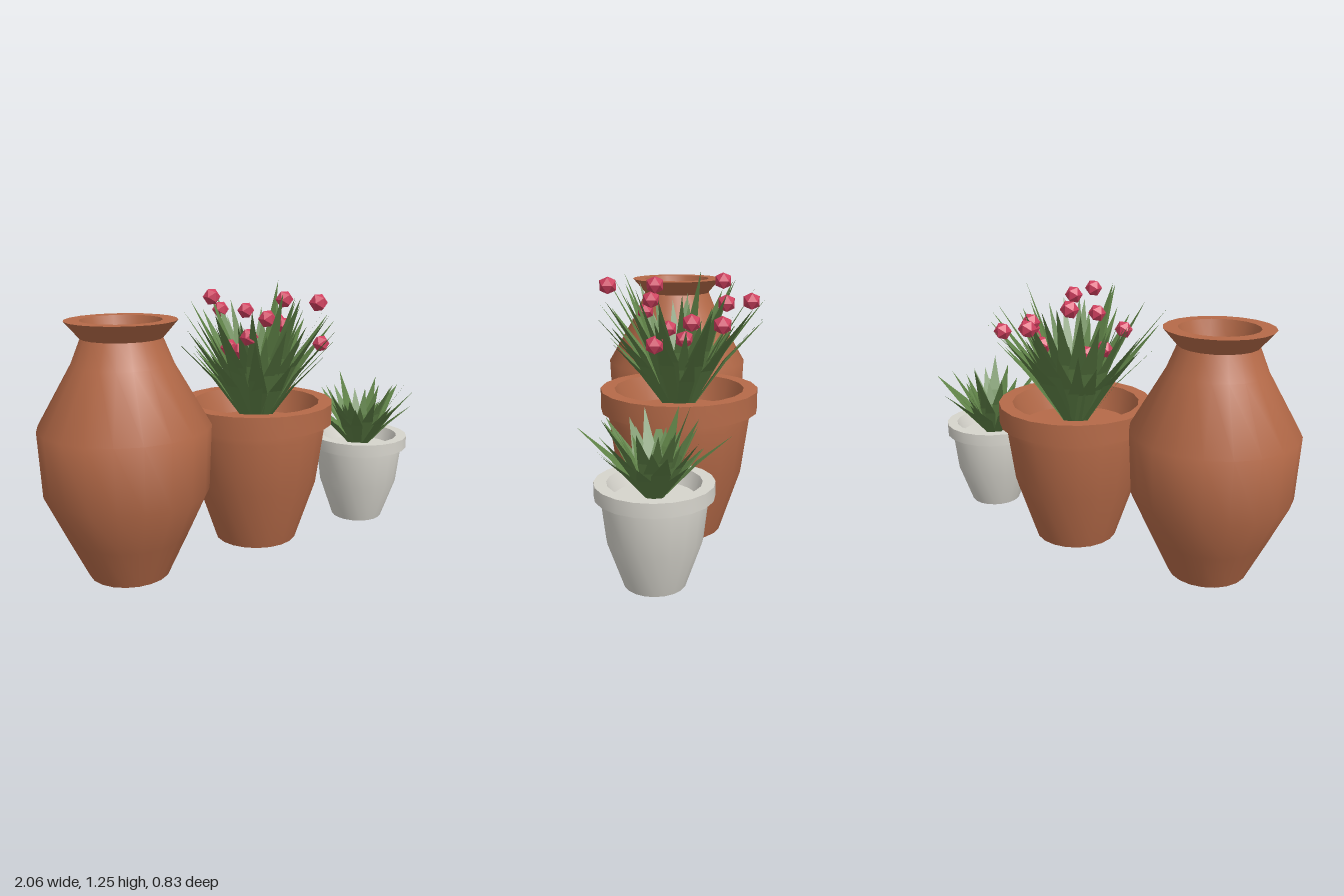
import * as THREE from 'three';
import { toCreasedNormals } from 'three/addons/utils/BufferGeometryUtils.js';

const colour = (name, hex, side = THREE.FrontSide) => {
  const m = new THREE.MeshStandardMaterial({ color: hex, side });
  m.name = name;
  return m;
};

// Turned vessel from [radius, height] pairs, bottom centre to inner floor centre
function vessel(name, profile, x, z, material) {
  const points = profile.map(([r, y]) => new THREE.Vector2(r, y));
  const mesh = new THREE.Mesh(toCreasedNormals(new THREE.LatheGeometry(points, 20), 0.7), material);
  mesh.name = name;
  mesh.position.set(x, 0, z);
  return mesh;
}

function seeded(seed) {
  return () => (seed = (seed * 16807) % 2147483647) / 2147483647;
}

// Pointed blades fanned around a small ring; each is a strip that bends outwards in the middle
function plant(name, o, material) {
  const rand = seeded(o.seed);
  const verts = [];
  for (let i = 0; i < o.count; i++) {
    const a = i * 2.39996 + (rand() - 0.5) * 0.3;
    const t = i / (o.count - 1); // 0 = low outer blade, 1 = upright inner blade
    const elevation = THREE.MathUtils.degToRad(o.low + (o.high - o.low) * t + (rand() - 0.5) * 6);
    const length = o.minLength + (o.maxLength - o.minLength) * rand();
    const width = o.width * (0.8 + 0.4 * rand());
    const out = new THREE.Vector3(Math.cos(a), 0, Math.sin(a));
    const across = new THREE.Vector3(-Math.sin(a), 0, Math.cos(a));
    const at = (r, y, w) => out.clone().multiplyScalar(r).addScaledVector(across, w).setY(y);
    const r1 = o.ring + Math.cos(elevation + 0.06) * length * 0.52;
    const y1 = Math.sin(elevation + 0.06) * length * 0.52;
    const r2 = r1 + Math.cos(elevation - 0.08) * length * 0.48;
    const y2 = y1 + Math.sin(elevation - 0.08) * length * 0.48;
    const b0 = at(o.ring, 0, -width * 0.28), b1 = at(o.ring, 0, width * 0.28);
    const m0 = at(r1, y1, -width / 2), m1 = at(r1, y1, width / 2);
    const tip = at(r2, y2, 0);
    for (const p of [b0, m0, b1, b1, m0, m1, m0, tip, m1]) verts.push(p.x, p.y, p.z);
  }
  const geo = new THREE.BufferGeometry();
  geo.setAttribute('position', new THREE.Float32BufferAttribute(verts, 3));
  geo.computeVertexNormals();
  const mesh = new THREE.Mesh(geo, material);
  mesh.name = name;
  mesh.position.set(o.x, o.y, o.z);
  return mesh;
}

export function createModel() {
  const group = new THREE.Group();
  group.name = 'pottedPlants';
  const terracotta = colour('terracotta', 0xb56a48);
  const stone = colour('pale stone', 0xd6d4cc);
  const green = colour('leaf green', 0x5f8247, THREE.DoubleSide);
  const pink = colour('flower pink', 0xd0405f);

  // Tall jar with flared lip
  group.add(vessel('tallJar', [
    [0, 0], [0.18, 0], [0.27, 0.19], [0.362, 0.39], [0.375, 0.68], [0.22, 0.95],
    [0.175, 1.06], [0.24, 1.135], [0.175, 1.135], [0.13, 0.98], [0, 0.98],
  ], -0.625, -0.04, terracotta));

  // Large pot with thick rim
  group.add(vessel('largePot', [
    [0, 0], [0.2, 0], [0.3, 0.3], [0.335, 0.55], [0.335, 0.59], [0.37, 0.59],
    [0.37, 0.69], [0.305, 0.69], [0.27, 0.57], [0, 0.57],
  ], 0.1, -0.04, terracotta));

  // Small pale pot
  group.add(vessel('smallPot', [
    [0, 0], [0.13, 0], [0.2, 0.2], [0.22, 0.37], [0.22, 0.385], [0.247, 0.385],
    [0.247, 0.445], [0.195, 0.445], [0.17, 0.38], [0, 0.38],
  ], 0.71, 0.07, stone));

  // Leaves
  group.add(plant('largePlantLeaves', {
    seed: 77, count: 64, x: 0.1, y: 0.57, z: -0.04, ring: 0.04,
    low: 48, high: 74, minLength: 0.44, maxLength: 0.71, width: 0.075,
  }, green));
  group.add(plant('smallPlantLeaves', {
    seed: 401, count: 40, x: 0.71, y: 0.38, z: 0.07, ring: 0.035,
    low: 40, high: 74, minLength: 0.25, maxLength: 0.42, width: 0.065,
  }, green));

  // Faceted blossoms above the large plant
  const blossoms = new THREE.Group();
  blossoms.name = 'blossoms';
  const shape = new THREE.IcosahedronGeometry(0.043, 0);
  [
    [0.2, 1.18, 0.28], [-0.01, 1.18, -0.25], [0.18, 1.18, 0.07],
    [0.06, 1.1, 0.09], [0.2, 1.1, -0.25], [0.13, 1.1, -0.37],
    [-0.07, 1.03, 0.12], [0.32, 1.03, -0.09], [0.39, 1.03, -0.22],
    [0.42, 0.95, 0.07], [0.27, 0.95, -0.06], [-0.03, 0.95, 0.01], [-0.01, 0.95, -0.11],
  ].forEach((p) => {
    const blossom = new THREE.Mesh(shape, pink);
    blossom.name = 'blossom';
    blossom.position.set(...p);
    blossoms.add(blossom);
  });
  group.add(blossoms);
  return group;
}
